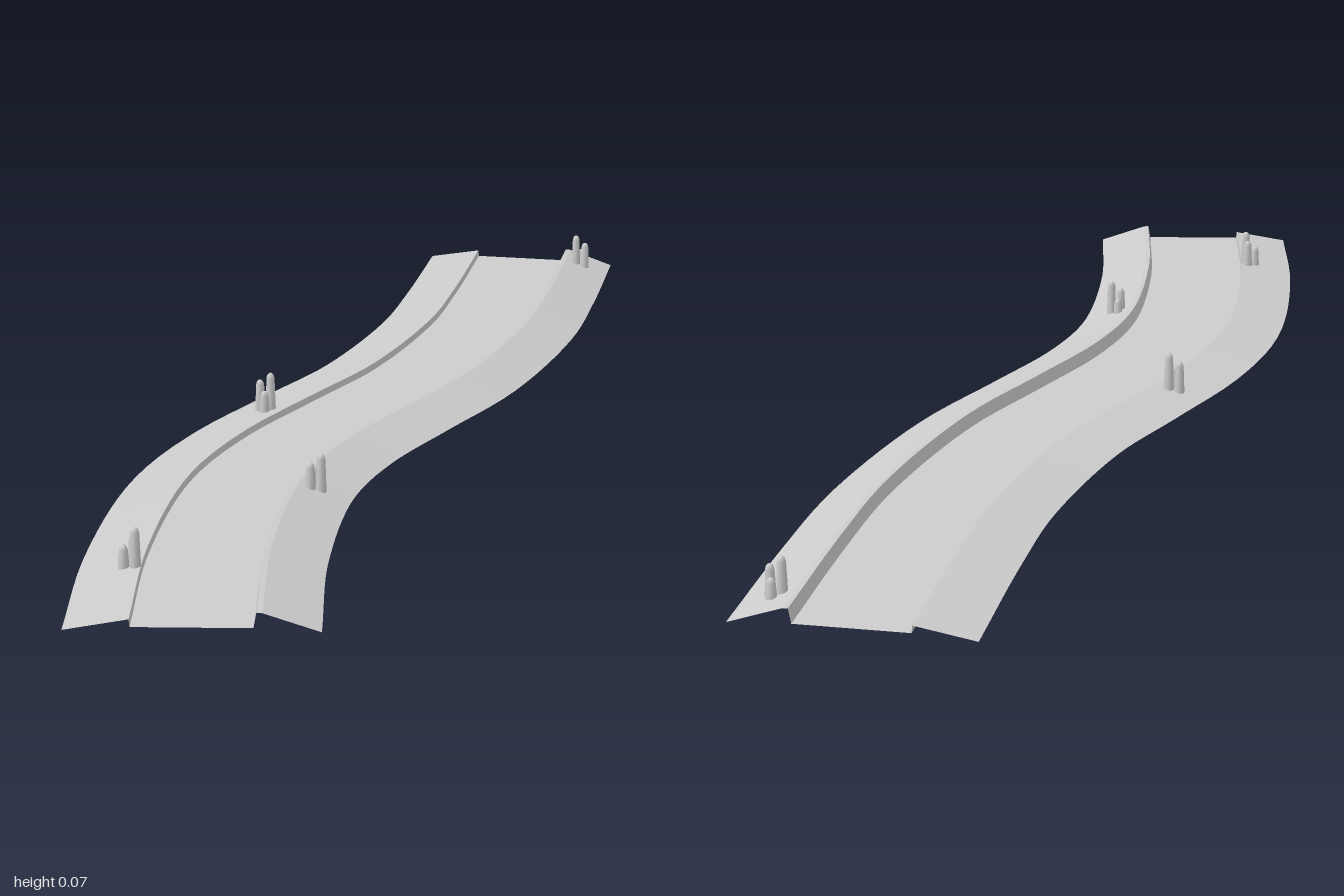
import * as THREE from 'three';

const grey = new THREE.MeshStandardMaterial({ color: 0xcccccc, side: THREE.DoubleSide });
grey.name = 'plain grey';

// Centre line of the stream as [x, z], back to front
const path = new THREE.CatmullRomCurve3([
  [0.036, -0.99], [0.058, -0.72], [0.067, -0.5], [0.04, -0.2], [-0.01, 0], [-0.058, 0.2],
  [-0.073, 0.4], [-0.031, 0.7], [0.037, 0.963],
].map(([x, z]) => new THREE.Vector3(x, 0, z)));

// One band swept along the path between two [offset, height] points
function band(name, a, b, segments = 48) {
  const pos = [], index = [];
  for (let i = 0; i <= segments; i++) {
    const p = path.getPointAt(i / segments), t = path.getTangentAt(i / segments);
    for (const [off, y] of [a, b]) pos.push(p.x + t.z * off, y, p.z - t.x * off);
    if (i < segments) {
      const k = i * 2;
      index.push(k, k + 2, k + 1, k + 1, k + 2, k + 3);
    }
  }
  const g = new THREE.BufferGeometry();
  g.setAttribute('position', new THREE.Float32BufferAttribute(pos, 3));
  g.setIndex(index);
  g.computeVertexNormals();
  const mesh = new THREE.Mesh(g, grey);
  mesh.name = name;
  return mesh;
}

// Tapered stalk with a rounded tip
function stalk(height) {
  const profile = [[0, 0], [0.006, 0], [0.0085, 0.003], [0.0065, height - 0.008],
    [0.005, height - 0.003], [0.0025, height - 0.0005], [0, height]];
  const mesh = new THREE.Mesh(
    new THREE.LatheGeometry(profile.map(([x, y]) => new THREE.Vector2(x, y)), 10), grey);
  mesh.name = 'reedStalk';
  return mesh;
}

export function createModel() {
  const model = new THREE.Group();
  model.name = 'streamSection';

  // Low bank, water bed and high bank
  const profile = [[-0.174, 0], [-0.084, 0.016], [-0.083, 0.005],
    [0.082, 0.005], [0.086, 0.027], [0.094, 0.0265], [0.173, 0]];
  const names = ['lowBankSlope', 'lowBankWall', 'waterSurface', 'highBankWall', 'highBankLip', 'highBankSlope'];
  names.forEach((n, i) => model.add(band(n, profile[i], profile[i + 1])));

  // Reed clumps: x, z, then [dx, dz] of the tall, middle and short stalks
  const clumps = [
    [0.163, -0.935, [[-0.008, 0.004], [0.009, 0.004], [0.002, -0.011]]],
    [-0.148, 0.063, [[0.009, -0.004], [-0.009, -0.005], [0.003, 0.01]]],
    [0.046, 0.42, [[0.009, 0.003], [-0.006, 0.009], [-0.006, -0.009]]],
    [-0.113, 0.79, [[0.009, 0.004], [0.002, -0.01], [-0.008, 0.005]]],
  ];
  for (const [x, z, spots] of clumps) {
    const clump = new THREE.Group();
    clump.name = 'reedClump';
    spots.forEach(([dx, dz], i) => {
      const s = stalk([0.072, 0.059, 0.045][i]);
      s.position.set(dx, 0.001, dz);
      clump.add(s);
    });
    clump.position.set(x, 0, z);
    model.add(clump);
  }
  return model;
}
